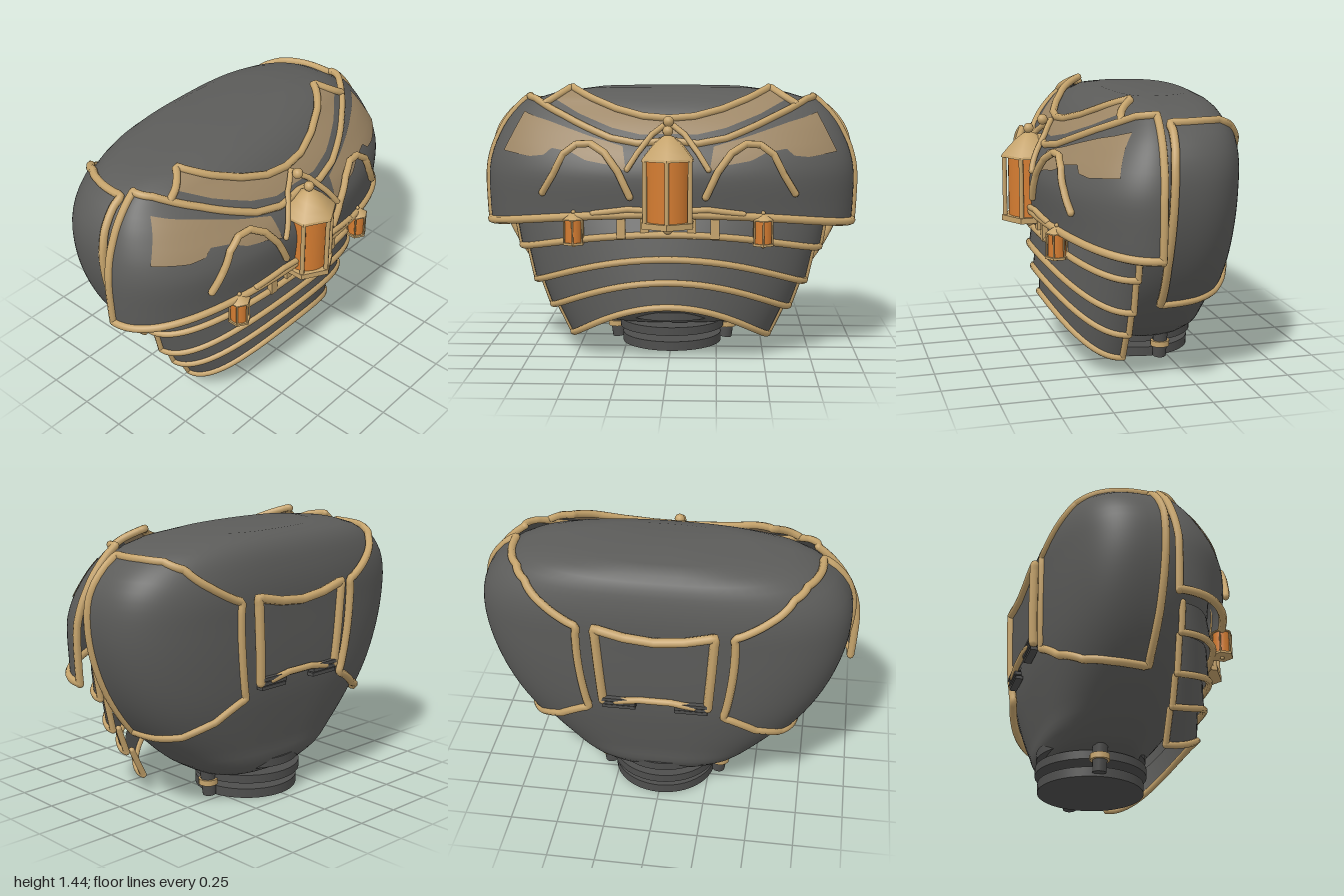
import * as THREE from 'three';

const paint = (name, color) => {
  const m = new THREE.MeshStandardMaterial({ color, side: THREE.DoubleSide });
  m.name = name;
  return m;
};
const steel = paint('dark steel', 0x5c5c5a);
const iron = paint('iron', 0x4e4e4d);
const brass = paint('brass', 0xc6a46c);
const worn = paint('worn bronze', 0x9d8665);
const amber = paint('amber glass', 0xd47c31);

// Smooth lookup through rows of [height, ...values]
function profile(rows) {
  const n = rows[0].length - 1;
  const it = new THREE.CubicInterpolant(rows.map(r => r[0]), rows.flatMap(r => r.slice(1)), n, new Float32Array(n));
  return y => Array.from(it.evaluate(y));
}
// Body: half width, front z, back z by height
const bodyAt = profile([
  [0.14, 0.35, 0.03, -0.385], [0.2, 0.45, 0.1, -0.435], [0.3, 0.57, 0.2, -0.455], [0.45, 0.71, 0.28, -0.485],
  [0.6, 0.81, 0.33, -0.51], [0.8, 0.895, 0.38, -0.525], [1.0, 0.935, 0.38, -0.53], [1.15, 0.925, 0.33, -0.53],
  [1.25, 0.875, 0.27, -0.515], [1.34, 0.77, 0.19, -0.485], [1.39, 0.63, 0.11, -0.445], [1.42, 0.4, 0.02, -0.39]]);
// Chest: half width, front z by height
const chestAt = profile([
  [0.68, 0.97, 0.44], [0.8, 0.978, 0.447], [1.0, 0.978, 0.455], [1.1, 0.955, 0.425], [1.17, 0.925, 0.38],
  [1.25, 0.88, 0.32], [1.34, 0.8, 0.23], [1.38, 0.745, 0.19], [1.43, 0.55, 0.12]]);
// Squareness of the chest, body front and body back, and the body's middle z
const CHEST = 2.1, FRONT = 2.2, BACK = 2.8, MID = -0.1;
const rim = (s, n) => Math.pow(Math.max(0, 1 - Math.pow(Math.min(1, Math.abs(s)), n)), 1 / n);
const spow = (c, n) => Math.sign(c) * Math.pow(Math.abs(c), 2 / n);
const V = (x, y, z) => new THREE.Vector3(x, y, z);

// Angle 0 is the side, 90 the back, -90 the front
function onBody(deg, y, out = 0) {
  const [a, f, b] = bodyAt(y), t = THREE.MathUtils.degToRad(deg);
  const n = Math.sin(t) > 0 ? BACK : FRONT, s = spow(Math.sin(t), n);
  return V((a + out) * spow(Math.cos(t), n), y, MID - s * (s > 0 ? MID - b + out : f - MID + out));
}
// The chest leans back towards the shoulders
function onChest(x, y, out = 0) {
  const [a, f] = chestAt(y);
  return V(THREE.MathUtils.clamp(x, -a, a) * (1 + out), y, f * rim(x / a, CHEST) + out - 0.08 * Math.max(0, y - 1));
}
function onBack(x, y, out = 0) {
  const [a, , b] = bodyAt(y);
  return V(x, y, MID - (MID - b) * rim(x / a, BACK) - out);
}

// Surface from a rule of u and v in 0..1
function sheet(fn, nu, nv) {
  const pos = [], idx = [];
  for (let j = 0; j <= nv; j++) for (let i = 0; i <= nu; i++) pos.push(...fn(i / nu, j / nv).toArray());
  for (let j = 0; j < nv; j++) for (let i = 0; i < nu; i++) {
    const a = j * (nu + 1) + i, c = a + nu + 1;
    idx.push(a, a + 1, c + 1, a, c + 1, c);
  }
  const g = new THREE.BufferGeometry();
  g.setAttribute('position', new THREE.Float32BufferAttribute(pos, 3));
  g.setIndex(idx);
  g.computeVertexNormals();
  return g;
}
// Value along a polyline of [key, value]
function along(pts, k) {
  for (let i = 1; i < pts.length; i++) if (k <= pts[i][0]) {
    const [p, q] = [pts[i - 1], pts[i]];
    return p[1] + (q[1] - p[1]) * (k - p[0]) / (q[0] - p[0]);
  }
  return pts[pts.length - 1][1];
}
// Point at fraction t of a list of [x, y]
function pick(pts, t) {
  const k = Math.min(t * (pts.length - 1), pts.length - 1.0001), i = Math.floor(k);
  return pts[i].map((v, j) => v + (pts[i + 1][j] - v) * (k - i));
}

export function createModel() {
  const model = new THREE.Group();
  const add = (name, geo, mat, x = 0, y = 0, z = 0, parent = model) => {
    const m = new THREE.Mesh(geo, mat);
    m.name = name;
    m.position.set(x, y, z);
    parent.add(m);
    return m;
  };
  // Brass piping along points laid on a surface
  const trim = (name, pts, place, r = 0.019, closed = false) => {
    const path = [], list = closed ? [...pts, pts[0]] : pts, k = 6;
    for (let i = 0; i < list.length - 1; i++) for (let j = 0; j < k; j++)
      path.push(place(...list[i].map((v, c) => v + (list[i + 1][c] - v) * j / k)));
    if (!closed) path.push(place(...list[list.length - 1]));
    add(name, new THREE.TubeGeometry(new THREE.CatmullRomCurve3(path, closed), path.length * 2, r, 8, closed), brass);
    if (!closed) for (const p of [path[0], path[path.length - 1]])
      add(name + 'End', new THREE.SphereGeometry(r, 8, 6), brass, p.x, p.y, p.z);
  };
  const flip = (pts, s) => pts.map(([x, y]) => [x * s, y]);

  // Barrel body, closed at both ends
  add('body', sheet((u, v) => {
    const k = v * 44 - 1;
    const p = onBody(u * 360, THREE.MathUtils.clamp(0.14 + 1.28 * k / 42, 0.14, 1.42));
    return k < 0 || k > 42.5 ? V(0, p.y, -0.17) : p;
  }, 72, 44), steel);

  // Chest plate
  const topLine = [[0, 1.17], [0.16, 1.155], [0.32, 1.18], [0.64, 1.285], [0.92, 1.365], [1, 1.375]];
  const chestTop = s => along(topLine, Math.abs(s));
  const chestBottom = s => 0.8 - 0.085 * s * s;
  const chestPoint = (s, y, out = 0) => onChest(s * chestAt(y)[0], y, out);
  const bend = u => Math.sin((u - 0.5) * Math.PI);
  add('chestPlate', sheet((u, v) => {
    const s = bend(u), b = chestBottom(s);
    return chestPoint(s, b + (chestTop(s) - b) * v);
  }, 64, 16), steel);
  const sweep = Array.from({ length: 17 }, (_, i) => [i / 16]);
  trim('chestTopTrim', sweep, u => chestPoint(bend(u), chestTop(bend(u)), 0.005));
  trim('chestBottomTrim', sweep, u => chestPoint(bend(u), chestBottom(bend(u)), 0.003), 0.021);

  // Collar band with a worn upper part
  const collarLow = [[-0.65, 1.345], [-0.5, 1.265], [-0.3, 1.19], [-0.15, 1.16], [0, 1.17], [0.15, 1.16], [0.3, 1.19], [0.5, 1.265], [0.65, 1.345]];
  const collarHigh = [[-0.52, 1.425], [-0.4, 1.37], [-0.27, 1.32], [-0.13, 1.285], [0, 1.275], [0.13, 1.285], [0.27, 1.32], [0.4, 1.37], [0.52, 1.425]];
  const strip = (low, high, v0, v1, out) => sheet((u, v) => {
    const a = pick(low, u), b = pick(high, u), t = v0 + (v1 - v0) * v;
    return onChest(a[0] + (b[0] - a[0]) * t, a[1] + (b[1] - a[1]) * t, out);
  }, 48, 6);
  add('collarEdge', strip(collarLow, collarHigh, 0, 0.3, 0.006), steel);
  add('collarBand', strip(collarLow, collarHigh, 0.3, 1, 0.006), worn);
  trim('collarTrim', [collarLow[0], ...collarHigh, collarLow[8]], (x, y) => onChest(x, y, 0.01), 0.02);

  // Ribbed belly plates: half width, front z, centre y, side drop
  const ribs = [[0.86, 0.41, 0.79, 0.06], [0.8, 0.42, 0.69, 0.11], [0.725, 0.41, 0.56, 0.165], [0.64, 0.395, 0.435, 0.18], [0.53, 0.37, 0.3, 0.2]];
  const ribPoint = ([X, Z, y, d], u, inset = 0) => {
    const s = bend(u), c = Math.sqrt(Math.max(0, 1 - s * s));
    return V((X - inset) * s, y - d * s * s, 0.07 + (Z - 0.07 - inset) * c);
  };
  for (let i = 1; i < ribs.length; i++) {
    add('bellyPlate', sheet((u, v) => ribPoint(ribs[i], u).lerp(ribPoint(ribs[i - 1], u, 0.035), v), 40, 4), steel);
    trim('bellyTrim', sweep, u => ribPoint(ribs[i], u), 0.018);
    for (const u of [0, 1])
      trim('bellySideTrim', [[0], [1]], v => ribPoint(ribs[i], u).lerp(ribPoint(ribs[i - 1], u, 0.035), v), 0.017);
  }

  // Side panel edges by angle round the body
  const panelTop = [[-2, 1.34], [15, 1.34], [30, 1.335], [45, 1.3], [60, 1.21], [73, 1.12]];
  const panelBottom = [[-3, 0.42], [15, 0.43], [35, 0.45], [57, 0.52], [73, 0.62]];
  for (const s of [1, -1]) {
    const side = (deg, y) => { const p = onBody(deg, y, 0.022); p.x *= s; return p; };
    trim('chestSideTrim', [[0.71], [1.0], [1.2], [1.375]], y => chestPoint(s, y, 0.002), 0.02);
    add('sidePanel', sheet((u, v) => {
      const deg = -2.5 + 75.5 * u, b = along(panelBottom, deg);
      return side(deg, b + (along(panelTop, deg) - b) * v);
    }, 30, 20), steel);
    trim('sidePanelTrim', [...panelTop, [73, 0.85], ...panelBottom.slice().reverse(), [-4, 0.65], [-4, 0.9], [-4, 1.15]], side, 0.021, true);
    // Worn patch and arched piping on the chest
    add('wornPatch', strip(flip([[0.87, 1.1], [0.72, 1.08], [0.64, 1.09], [0.6, 1.125], [0.5, 1.11], [0.42, 1.07], [0.3, 1.05], [0.21, 1.02]], s),
      flip([[0.77, 1.3], [0.7, 1.275], [0.62, 1.255], [0.54, 1.23], [0.46, 1.205], [0.38, 1.18], [0.3, 1.16], [0.23, 1.14]], s), 0, 1, 0.005), worn);
    trim('chestArch', flip([[0.19, 0.89], [0.25, 1.02], [0.31, 1.11], [0.38, 1.155], [0.45, 1.15], [0.52, 1.1], [0.58, 1.0], [0.64, 0.9]], s),
      (x, y) => onChest(x, y, 0.012 + 0.2 * Math.max(0, y - 1)), 0.019);
    trim('lanternBrace', flip([[0, 1.26], [0.08, 1.2], [0.15, 1.11], [0.2, 1.03]], s), (x, y) => onChest(x, y, 0.025), 0.015);
    trim('lanternArm', flip([[0.1, 0.82], [0.2, 0.825], [0.38, 0.8]], s), (x, y) => onChest(x, y, 0.008), 0.016);
    for (const x of [0.12, 0.24]) add('strap', new THREE.BoxGeometry(0.045, 0.12, 0.03), brass, s * x, 0.73, 0.41);
    // Foot post with ring
    const post = add('footPost', new THREE.CylinderGeometry(0.04, 0.036, 0.16, 16), iron, s * 0.31, 0.09, -0.2);
    post.rotation.z = -s * 0.12;
    add('postRing', new THREE.CylinderGeometry(0.051, 0.051, 0.03, 16), brass, s * 0.31, 0.085, -0.2);
    // Stacked clasps on the back
    for (let i = 0; i < 3; i++)
      add('backClasp', new THREE.BoxGeometry(0.17, 0.018, 0.04), iron, s * 0.185, 0.66 + i * 0.024, -0.54 - i * 0.006);
  }

  // Raised back panel
  add('backPanel', sheet((u, v) => {
    const t = 2 * u - 1;
    return onBack(t * (0.27 + 0.03 * v), 0.69 + (0.39 + 0.05 * t * t) * v, 0.03);
  }, 16, 10), steel);
  trim('backPanelTrim', [[-0.27, 0.69], [-0.285, 0.9], [-0.3, 1.13], [-0.15, 1.095], [0, 1.08], [0.15, 1.095], [0.3, 1.13], [0.285, 0.9], [0.27, 0.69]],
    (x, y) => onBack(x, y, 0.035), 0.024);
  trim('backClaspBar', [[-0.2, 0.695], [-0.08, 0.715], [0.08, 0.715], [0.2, 0.695]], (x, y) => onBack(x, y, 0.04), 0.018);

  // Stacked base discs
  [[0.025, 0.275, 0.05], [0.11, 0.29, 0.045], [0.19, 0.285, 0.045]].forEach(([y, r, h]) =>
    add('baseDisc', new THREE.CylinderGeometry(r, r, h, 48), iron, 0, y, -0.165));

  // Hexagonal lantern of radius r and glass height h, base at y = 0
  const lantern = (name, r, h, x, y, z, dome) => {
    const g = new THREE.Group();
    g.name = name;
    g.position.set(x, y, z);
    model.add(g);
    const hex = (n, a, b, t, py) => add(n, new THREE.CylinderGeometry(a, b, t, 6).toNonIndexed(), brass, 0, py, 0, g).geometry.computeVertexNormals();
    const t = r * 0.2;
    hex('lanternBase', r, r, t, t / 2);
    add('lanternGlass', new THREE.CylinderGeometry(r * 0.74, r * 0.74, h, 24), amber, 0, t + h / 2, 0, g);
    for (let i = 0; i < 6; i++) {
      const a = i * Math.PI / 3;
      add('lanternPost', new THREE.CylinderGeometry(r * 0.08, r * 0.08, h, 8), brass, Math.sin(a) * r * 0.88, t + h / 2, Math.cos(a) * r * 0.88, g);
    }
    hex('lanternEave', r * 0.97, r, t * 0.4, t * 1.2 + h);
    const roof = [[1, 0], [0.78, 0.3], [0.5, 0.65], [0.22, 0.9], [0, 1]].map(([a, b]) => new THREE.Vector2(a * r * 0.97, b * dome));
    add('lanternRoof', new THREE.LatheGeometry(roof, 6), brass, 0, t * 1.4 + h, 0, g);
    add('lanternKnob', new THREE.SphereGeometry(r * 0.18, 12, 8), brass, 0, t * 1.4 + h + dome + r * 0.1, 0, g);
    add('lanternFoot', new THREE.SphereGeometry(r * 0.18, 12, 8), brass, 0, -r * 0.08, 0, g);
  };
  lantern('chestLantern', 0.15, 0.31, 0, 0.735, 0.435, 0.12);
  add('lanternHook', new THREE.SphereGeometry(0.028, 12, 8), brass, 0, 1.265, 0.36);
  for (const s of [1, -1]) lantern('smallLantern', 0.06, 0.115, s * 0.485, 0.637, 0.4, 0.03);

  return model;
}
